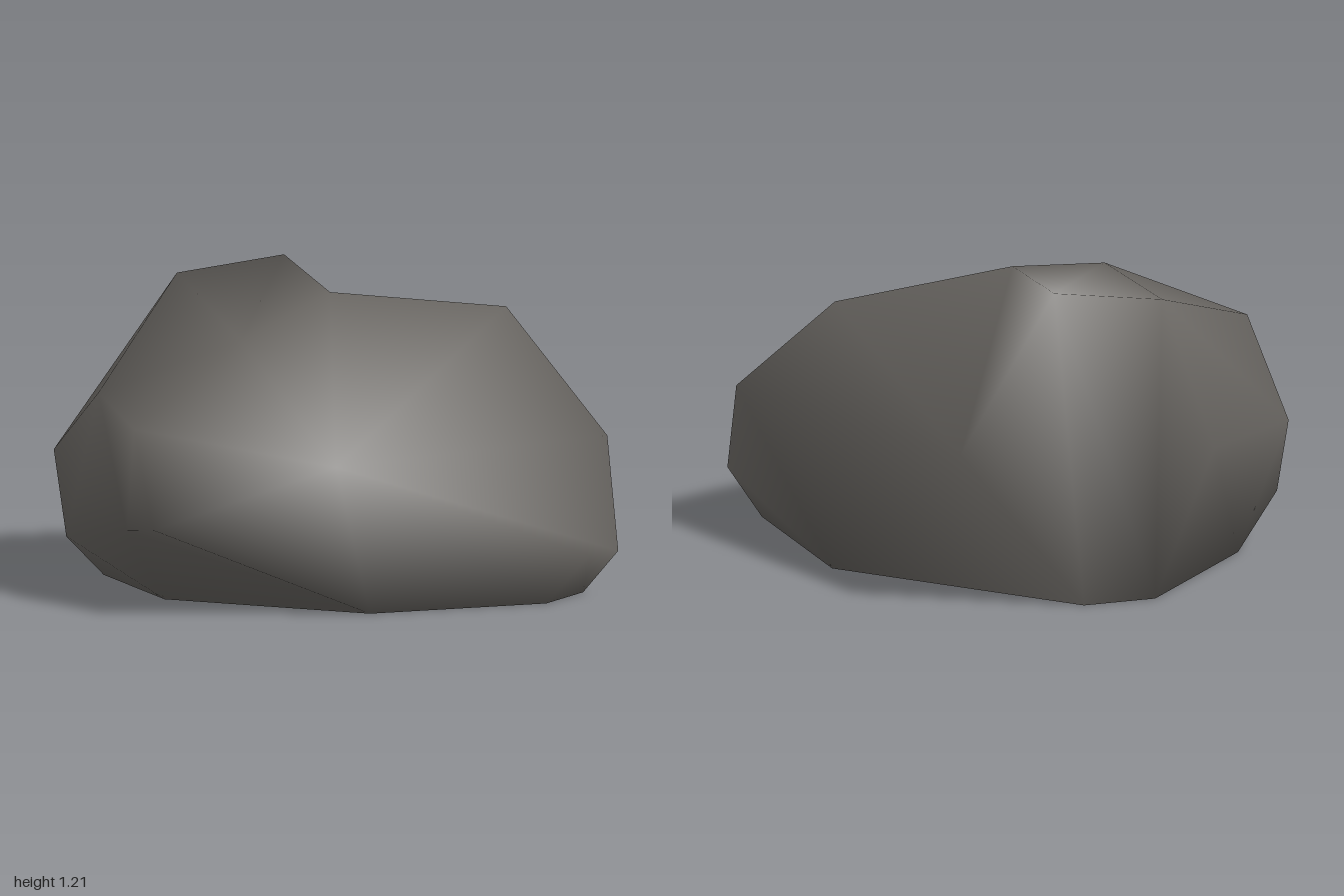
import * as THREE from 'three';

// Corner points of the boulder
const foot = {
  a: [0.82, 0, -0.17], b: [0.84, 0, 0.62], c: [0.6, 0, 0.84], d: [-0.15, 0, 0.84],
  e: [-0.78, 0, 0.2], f: [-0.78, 0, -0.48], g: [-0.25, 0, -1], h: [0.05, 0, -1],
};
const waist = {
  D: [1, 0.6, 0.47], E: [0.94, 0.18, 0.75], J: [0.77, 0.19, 0.88], F: [-0.35, 0.62, 0.99],
  H: [-1, 0.355, 0.66], T: [-1, 0.31, 0.36], W: [-1, 0.19, -0.32], V: [-1, 0.52, -0.46],
  U: [-0.5, 0.6, -1], C: [0.57, 0.67, -1],
};
const crown = {
  G: [0.76, 1.06, -0.03], K: [0.03, 1.15, -0.08], P: [-0.47, 1.03, 0.24], R: [-1, 0.73, 0.44],
  X: [-1, 0.82, 0.04], B: [-0.37, 1.155, -0.74], A: [0.07, 1.21, -0.7],
};

// Columns around the boulder from its +x side through the front: low, middle, high corner.
// A repeated corner closes a band to a triangle.
const columns = [
  'aDG', 'bED', 'cJE', 'dFE', 'dFD', 'dFG', 'dFK', 'dFP', // front
  'dHR', 'dTR', 'eTR', 'eWX', 'fWX', 'fVX', // -x side
  'gUB', 'ggB', 'hhA', 'hCA', 'hCK', 'aCG', // hollow back
];

export function createModel() {
  const points = { ...foot, ...waist, ...crown };
  const names = Object.keys(points);
  const index = [];
  const face = (...corners) => {
    if (new Set(corners).size === 3) index.push(...corners.map((n) => names.indexOf(n)));
  };
  const fan = (centre, rim) => {
    for (let i = 0; i < rim.length - 1; i++) face(centre, rim[i], rim[i + 1]);
  };

  // Sides: join neighbouring columns in two bands
  columns.forEach((col, i) => {
    const next = columns[(i + 1) % columns.length];
    for (let k = 0; k < 2; k++) {
      face(col[k], col[k + 1], next[k + 1]);
      face(col[k], next[k + 1], next[k]);
    }
  });

  // Top and underside
  fan('P', 'KABXR');
  fan('a', 'bcdefgh');

  const geometry = new THREE.BufferGeometry();
  geometry.setAttribute('position', new THREE.Float32BufferAttribute(Object.values(points).flat(), 3));
  geometry.setIndex(index);
  geometry.computeVertexNormals();

  const stone = new THREE.MeshStandardMaterial({ color: 0x66635f });
  stone.name = 'stone';
  const boulder = new THREE.Mesh(geometry, stone);
  boulder.name = 'boulder';

  const group = new THREE.Group();
  group.name = 'rock';
  group.add(boulder);
  return group;
}
